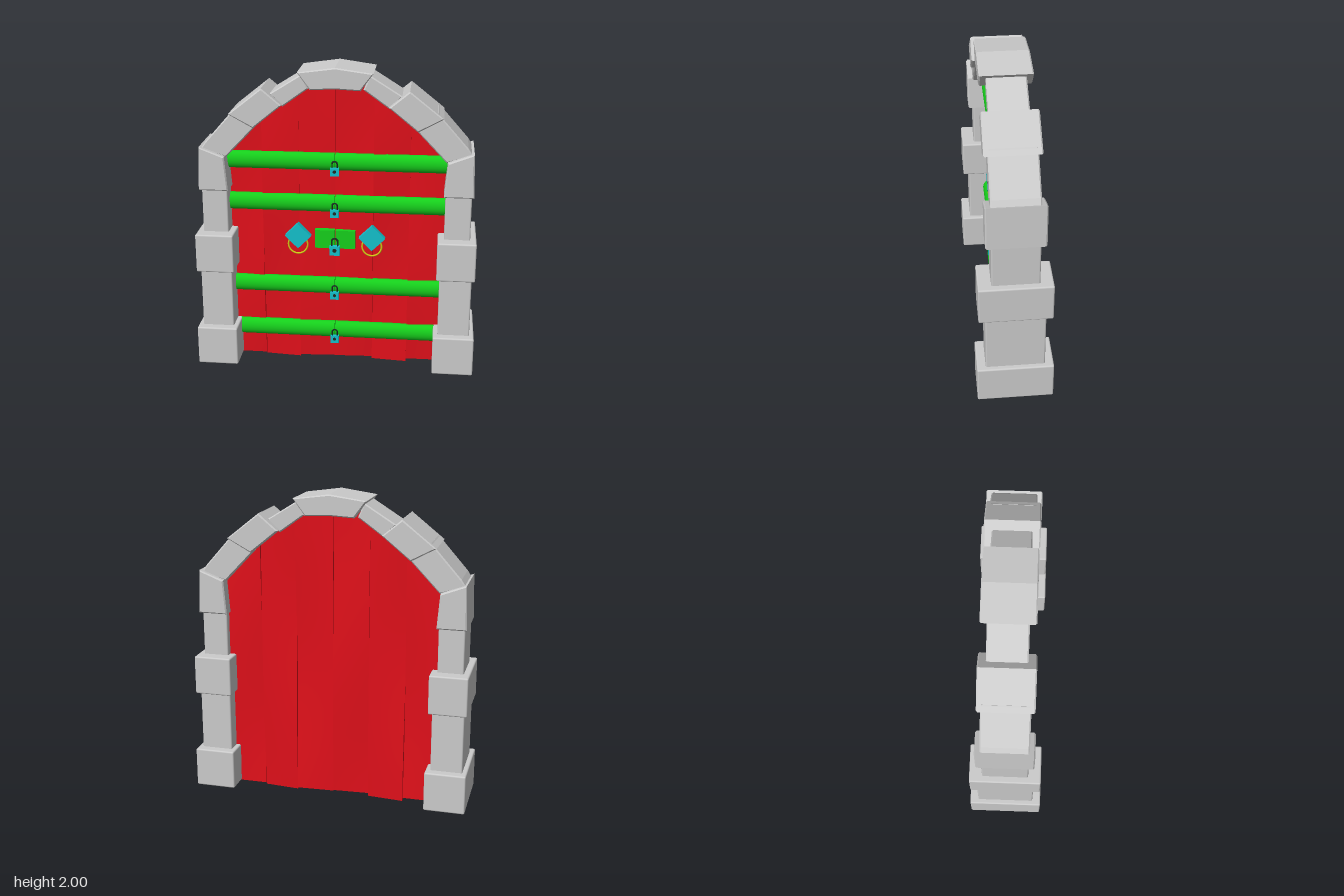
import * as THREE from 'three';
import { RoundedBoxGeometry } from 'three/addons/geometries/RoundedBoxGeometry.js';

const paint = (color, extra = {}) => new THREE.MeshStandardMaterial({ color, ...extra });
const stoneMat = paint(0xcccccc);
const red = paint(0xe0101a), green = paint(0x16d01c), cyan = paint(0x14c0cc);
const yellow = paint(0xd8c814), dark = paint(0x1c2a24);
const MID = -0.01; // x of the seam between the two door leaves

function add(parent, name, geometry, material, x = 0, y = 0, z = 0) {
  const mesh = new THREE.Mesh(geometry, material);
  mesh.name = name;
  mesh.position.set(x, y, z);
  parent.add(mesh);
  return mesh;
}

// Stone block with an outline in the xy plane and chamfered front and back edges
function archStone(parent, name, points, halfDepth) {
  const b = 0.008;
  const shape = new THREE.Shape(points.map(([x, y]) => new THREE.Vector2(x, y)));
  const geo = new THREE.ExtrudeGeometry(shape, {
    depth: 2 * (halfDepth - b), bevelThickness: b, bevelSize: b, bevelOffset: -b, bevelSegments: 1,
  });
  add(parent, name, geo, stoneMat, 0, 0, -halfDepth + b);
}

// Height of the door's top edge, hidden inside the arch stones
const topEdge = [[0, 1.91], [0.17, 1.9], [0.42, 1.74], [0.58, 1.6], [0.73, 1.45]];
function doorTop(x) {
  const a = Math.abs(x);
  for (let i = 1; i < topEdge.length; i++) {
    const [x0, y0] = topEdge[i - 1], [x1, y1] = topEdge[i];
    if (a <= x1) return y0 + (y1 - y0) * (a - x0) / (x1 - x0);
  }
  return 1.45;
}

// Slightly warped plank
function plank(parent, x0, x1, bottom, phase) {
  const geo = new THREE.BoxGeometry(x1 - x0, 1, 0.13, 6, 14, 1);
  const p = geo.attributes.position;
  const cx = (x0 + x1) / 2;
  for (let i = 0; i < p.count; i++) {
    const x = p.getX(i) + cx, t = p.getY(i) + 0.5;
    const y = bottom + t * (doorTop(x) - bottom);
    const twist = (x - cx) * 0.09 * Math.sin(y * 2.6 + phase);
    const bow = 0.008 * Math.sin(y * 3.4 + phase * 2);
    p.setXYZ(i, x, y, p.getZ(i) - 0.03 + twist + bow);
  }
  geo.computeVertexNormals();
  add(parent, 'plank', geo, red);
}

// Padlock with shackle and keyhole
function padlock(parent, y, z, s = 1) {
  const lock = new THREE.Group();
  lock.name = 'padlock';
  lock.position.set(MID, y, z);
  lock.scale.setScalar(s);
  add(lock, 'lockBody', new THREE.BoxGeometry(0.056, 0.052, 0.026), cyan);
  add(lock, 'shackleArch', new THREE.TorusGeometry(0.016, 0.005, 6, 14, Math.PI), dark, 0, 0.052, 0);
  for (const sx of [-1, 1])
    add(lock, 'shackleLeg', new THREE.CylinderGeometry(0.005, 0.005, 0.03, 6), dark, sx * 0.016, 0.038, 0);
  const hole = add(lock, 'keyhole', new THREE.CylinderGeometry(0.011, 0.011, 0.004, 12), dark, 0, 0.003, 0.013);
  hole.rotation.x = Math.PI / 2;
  parent.add(lock);
}

export function createModel() {
  const model = new THREE.Group();
  model.name = 'archedDoor';

  // Stone frame: pillar blocks [name, x0, x1, y0, y1, half depth]
  const frame = new THREE.Group();
  frame.name = 'stoneFrame';
  model.add(frame);
  const blocks = [
    ['pillarBase', 0.64, 0.905, 0.015, 0.275, 0.24],
    ['lowerShaft', 0.67, 0.875, 0.26, 0.68, 0.185],
    ['middleBlock', 0.65, 0.895, 0.665, 0.92, 0.226],
    ['upperShaft', 0.69, 0.855, 0.9, 1.22, 0.145],
  ];
  // Tapered stones of the arch
  const stones = [
    ['capitalStone', [[0.68, 1.205], [0.868, 1.205], [0.858, 1.487], [0.698, 1.427]], 0.178],
    ['lowerArchStone', [[0.69, 1.42], [0.85, 1.47], [0.82, 1.515], [0.63, 1.73], [0.49, 1.63]], 0.145],
    ['archStone', [[0.51, 1.615], [0.665, 1.7], [0.455, 1.867], [0.33, 1.762]], 0.168],
    ['upperArchStone', [[0.33, 1.745], [0.41, 1.825], [0.21, 1.95], [0.17, 1.86]], 0.12],
  ];
  for (const side of [1, -1]) {
    for (const [name, x0, x1, y0, y1, d] of blocks)
      add(frame, name, new RoundedBoxGeometry(x1 - x0, y1 - y0, 2 * d, 2, 0.01),
        stoneMat, side * (x0 + x1) / 2, (y0 + y1) / 2, 0);
    for (const [name, pts, d] of stones)
      archStone(frame, name, pts.map(([x, y]) => [side * x, y]), d);
  }
  archStone(frame, 'keystone',
    [[-0.155, 1.86], [0, 1.868], [0.155, 1.86], [0.233, 1.967], [0, 2], [-0.233, 1.967]], 0.16);

  // Door planks
  const door = new THREE.Group();
  door.name = 'door';
  model.add(door);
  const edges = [-0.72, -0.48, -0.245, MID, 0.235, 0.465, 0.72];
  const bottoms = [0.015, 0, 0.015, 0.012, 0, 0.015];
  bottoms.forEach((b, i) => plank(door, edges[i], edges[i + 1], b, i * 1.9));

  // Rounded cross bars, one half per leaf, each with a padlock
  for (const [y, half] of [[1.383, 0.7], [1.105, 0.7], [0.535, 0.68], [0.218, 0.65]]) {
    for (const side of [-1, 1]) {
      const length = half - side * MID - 0.002;
      const geo = new THREE.CylinderGeometry(1, 1, length, 20, 1);
      geo.rotateZ(Math.PI / 2);
      geo.scale(1, 0.057, 0.04);
      add(door, 'crossBar', geo, green, MID + side * (0.002 + length / 2), y, 0.045);
    }
    padlock(door, y - 0.056, 0.088);
  }

  // Latch plates with a larger padlock
  for (const side of [-1, 1])
    add(door, 'latchPlate', new THREE.BoxGeometry(0.128, 0.122, 0.05), green, MID + side * 0.067, 0.864, 0.045);
  padlock(door, 0.795, 0.085, 1.2);

  // Diamond handle plates with rings
  for (const side of [-1, 1]) {
    const x = MID + side * 0.24;
    const plate = add(door, 'handlePlate', new THREE.BoxGeometry(0.12, 0.12, 0.045), cyan, x, 0.884, 0.062);
    plate.rotation.z = Math.PI / 4;
    add(door, 'handleRing', new THREE.TorusGeometry(0.063, 0.006, 8, 32), yellow, x, 0.826, 0.074);
  }
  return model;
}
